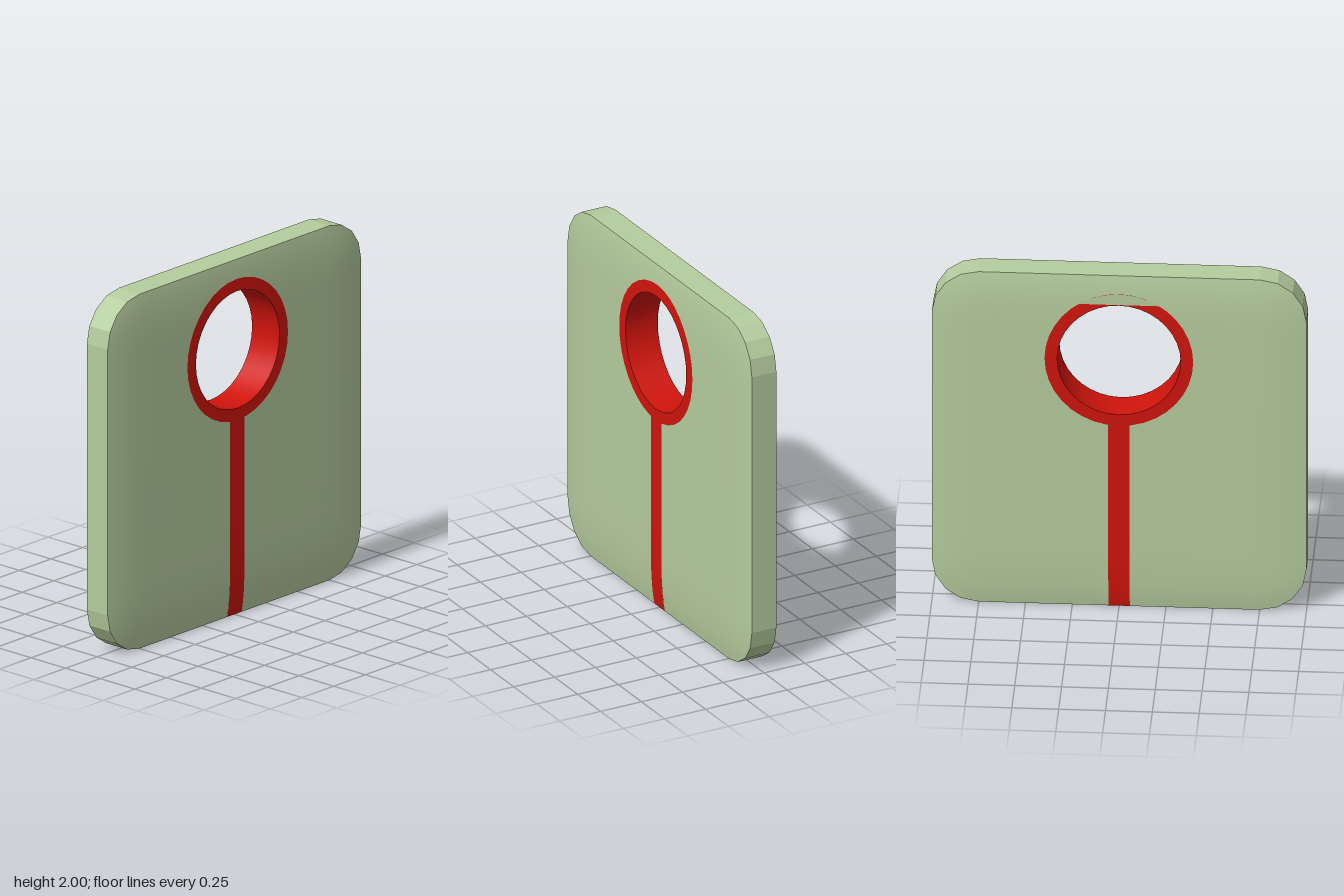
import * as THREE from 'three';
import { toCreasedNormals } from 'three/addons/utils/BufferGeometryUtils.js';

const GREEN = 0xb5cc9e, RED = 0xd0140c;
const CY = 1.5, R_IN = 0.33, R_OUT = 0.397, STEM = 0.057, CORNER = 0.25;

// Half thickness of the pillow-shaped plate: thickens away from its rounded rim
function halfDepth(x, y) {
  const qx = Math.abs(x) - (1 - CORNER), qy = Math.abs(y - 1) - (1 - CORNER);
  const outside = Math.hypot(Math.max(qx, 0), Math.max(qy, 0));
  const d = Math.max(0, CORNER - outside - Math.min(Math.max(qx, qy), 0));
  return 0.075 + 0.022 * (1 - (1 - Math.min(d / 0.45, 1)) ** 4);
}

// Skin a list of equally long rows of points
function loft(name, color, rows) {
  const n = rows[0].length, index = [];
  for (let i = 0; i < rows.length - 1; i++) {
    for (let j = 0; j < n - 1; j++) {
      const a = i * n + j, b = a + n;
      index.push(a, b, b + 1, a, b + 1, a + 1);
    }
  }
  const geo = new THREE.BufferGeometry();
  geo.setAttribute('position', new THREE.Float32BufferAttribute(rows.flat(2), 3));
  geo.setIndex(index);
  return named(name, color, toCreasedNormals(geo, 0.18));
}

function named(name, color, geo, side = THREE.FrontSide) {
  const mesh = new THREE.Mesh(geo, new THREE.MeshStandardMaterial({ color, side }));
  mesh.name = name;
  return mesh;
}

// Plate outline, counter-clockwise from one side of the stem to the other
function plateOutline() {
  const pts = [];
  const line = (x0, y0, x1, y1, n) => {
    for (let i = 0; i < n; i++) pts.push([x0 + (x1 - x0) * i / n, y0 + (y1 - y0) * i / n]);
  };
  const corner = (cx, cy, start) => {
    for (let i = 0; i < 4; i++) {
      const a = start + i * Math.PI / 8;
      pts.push([cx + CORNER * Math.cos(a), cy + CORNER * Math.sin(a)]);
    }
  };
  const s = 1 - CORNER;
  line(STEM, 0, s, 0, 8);
  corner(s, CORNER, -Math.PI / 2);
  line(1, CORNER, 1, 2 - CORNER, 16);
  corner(s, 2 - CORNER, 0);
  line(s, 2, -s, 2, 24);
  corner(-s, 2 - CORNER, Math.PI / 2);
  line(-1, 2 - CORNER, -1, CORNER, 16);
  corner(-s, CORNER, Math.PI);
  line(-s, 0, -STEM, 0, 8);
  pts.push([-STEM, 0]);
  return pts;
}

function buildPlate() {
  const outline = plateOutline();
  const r = R_OUT - 0.012;
  const a0 = Math.atan2(STEM, CY), phi0 = Math.asin(STEM / r);
  // Matching points under the ring, leaving a gap for the stem
  const inner = outline.map(([x, y], i) => {
    let a = Math.atan2(x, CY - y);
    if (a < 0) a += 2 * Math.PI;
    if (i === outline.length - 1) a = 2 * Math.PI - a0;
    const phi = Math.PI + (a - Math.PI) * (Math.PI - phi0) / (Math.PI - a0);
    return [r * Math.sin(phi), CY - r * Math.cos(phi)];
  });
  const steps = [0, 0.15, 0.3, 0.45, 0.6, 0.72, 0.82, 0.9, 0.96, 1];
  const row = (t, sign) => outline.map(([x, y], i) => {
    const px = inner[i][0] + (x - inner[i][0]) * t;
    const py = inner[i][1] + (y - inner[i][1]) * t;
    return [px, py, sign * halfDepth(px, py)];
  });
  const back = [...steps].reverse();
  return loft('plate', GREEN, [...steps.map(t => row(t, 1)), ...back.map(t => row(t, -1))]);
}

// Flat ring on both faces joined by the wall of the through hole
function buildRing() {
  const rows = [[R_OUT, -1], [R_IN, -1], [R_IN, 1], [R_OUT, 1]].map(([r, sign]) =>
    Array.from({ length: 37 }, (_, i) => {
      const a = i / 36 * 2 * Math.PI;
      const x = r * Math.cos(a), y = CY + r * Math.sin(a);
      return [x, y, sign * (halfDepth(x, y) + 0.002)];
    }));
  return loft('holeRing', RED, rows);
}

// Stripe running down the front, under the bottom edge and up the back
function buildStem() {
  const ys = [1.13, 0.8, 0.5, 0.4, 0.3, 0.2, 0.12, 0.06, 0.025, 0];
  const row = (y, sign) => [-STEM, STEM].map(x => [x, y, sign * halfDepth(x, y)]);
  return loft('stem', RED,
    [...ys.map(y => row(y, 1)), ...[...ys].reverse().map(y => row(y, -1))]);
}

// Plate surface that covers the top of the ring on the back
function buildBackCover() {
  const shape = new THREE.Shape();
  const half = Math.acos((R_IN + 0.004) / R_OUT);
  shape.absarc(0, CY, R_OUT, Math.PI / 2 - half, Math.PI / 2 + half, false);
  const mesh = named('backCover', GREEN, new THREE.ShapeGeometry(shape, 12), THREE.DoubleSide);
  mesh.position.z = -0.097;
  return mesh;
}

export function createModel() {
  const group = new THREE.Group();
  group.name = 'plateWithHole';
  group.add(buildPlate(), buildRing(), buildStem(), buildBackCover());
  return group;
}
